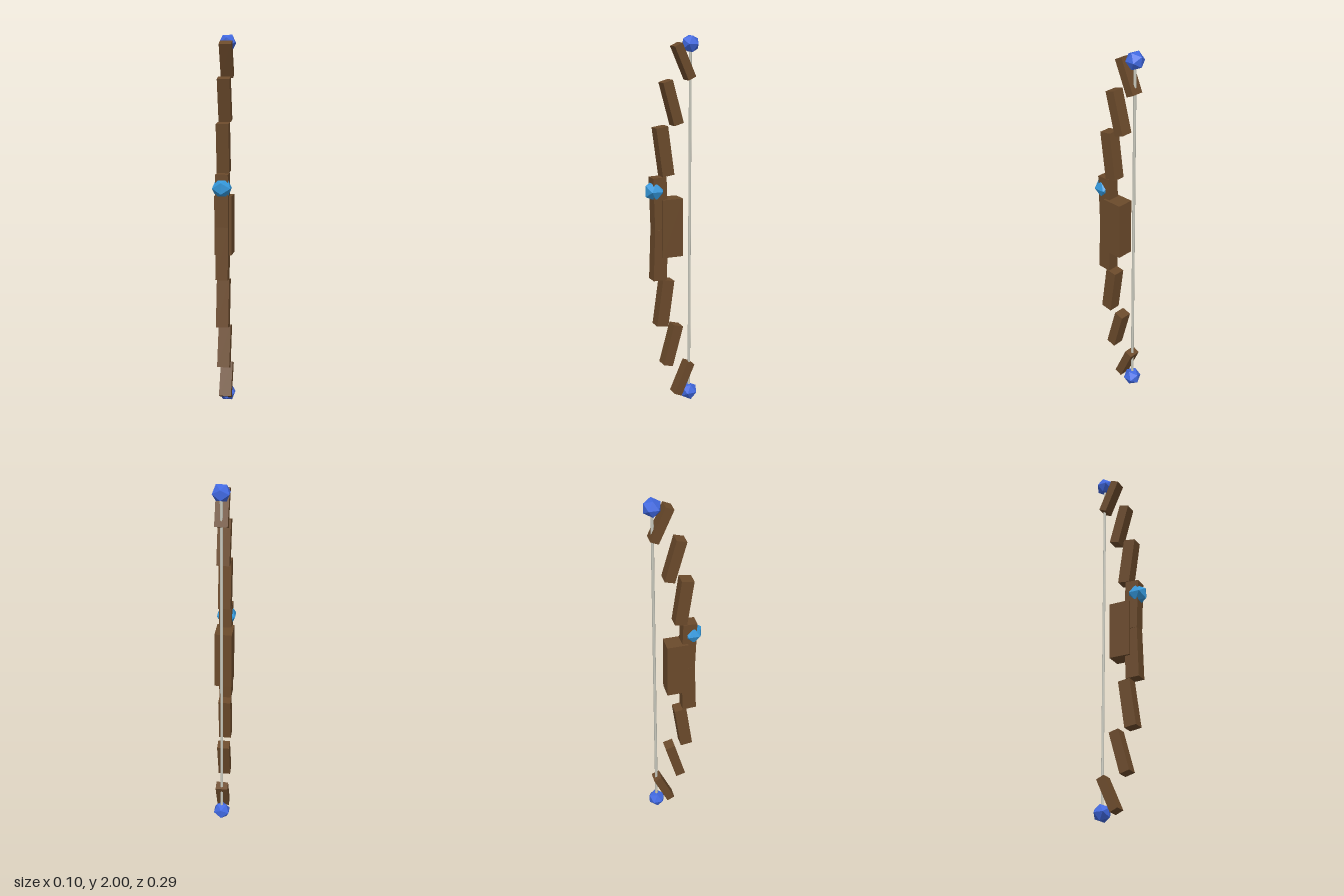
import * as THREE from 'three';

export function createModel() {
  const bow = new THREE.Group();
  bow.name = 'bow';

  const material = (name, color) => {
    const m = new THREE.MeshStandardMaterial({ color });
    m.name = name;
    return m;
  };
  const wood = material('brown wood', 0x6b4a2b);
  const tipBlue = material('royal blue crystal', 0x4169e1);
  const gemBlue = material('sky blue crystal', 0x3498db);
  const cord = material('pale cord', 0xccccc0);

  const add = (name, geometry, mat, x, y, z, tilt = 0) => {
    const mesh = new THREE.Mesh(geometry, mat);
    mesh.name = name;
    mesh.position.set(x, y, z);
    mesh.rotation.x = tilt;
    bow.add(mesh);
    return mesh;
  };

  // Limb segments from the middle outwards:
  // distance from the middle, z, length, depth, tilt in degrees
  const middle = 1;
  const segments = [
    [0.14, 0.074, 0.278, 0.075, 2],
    [0.413, 0.047, 0.258, 0.066, 8],
    [0.662, 0.001, 0.231, 0.055, 15.5],
    [0.87, -0.066, 0.19, 0.046, 24],
  ];

  for (const side of [1, -1]) {
    const label = side > 0 ? 'upper' : 'lower';
    segments.forEach(([dy, z, length, depth, degrees], i) => {
      add(`${label}LimbSegment${i + 1}`, new THREE.BoxGeometry(0.066, length, depth), wood,
        0, middle + side * dy, z, side * THREE.MathUtils.degToRad(degrees));
    });
    // Faceted crystal at the end of the limb
    add(`${label}TipCrystal`, new THREE.IcosahedronGeometry(0.0493, 0), tipBlue,
      0, middle + side * 0.958, -0.107);
  }

  // Handle behind the middle of the limbs
  add('grip', new THREE.BoxGeometry(0.091, 0.314, 0.115), wood, 0, 1.004, 0.0095);

  // Gem set on the front above the grip
  add('frontGem', new THREE.IcosahedronGeometry(0.0565, 0), gemBlue, 0, 1.206, 0.098);

  // Bowstring between the tip crystals
  add('bowstring', new THREE.CylinderGeometry(0.008, 0.008, 1.916, 6), cord, 0, middle, -0.107);

  return bow;
}
